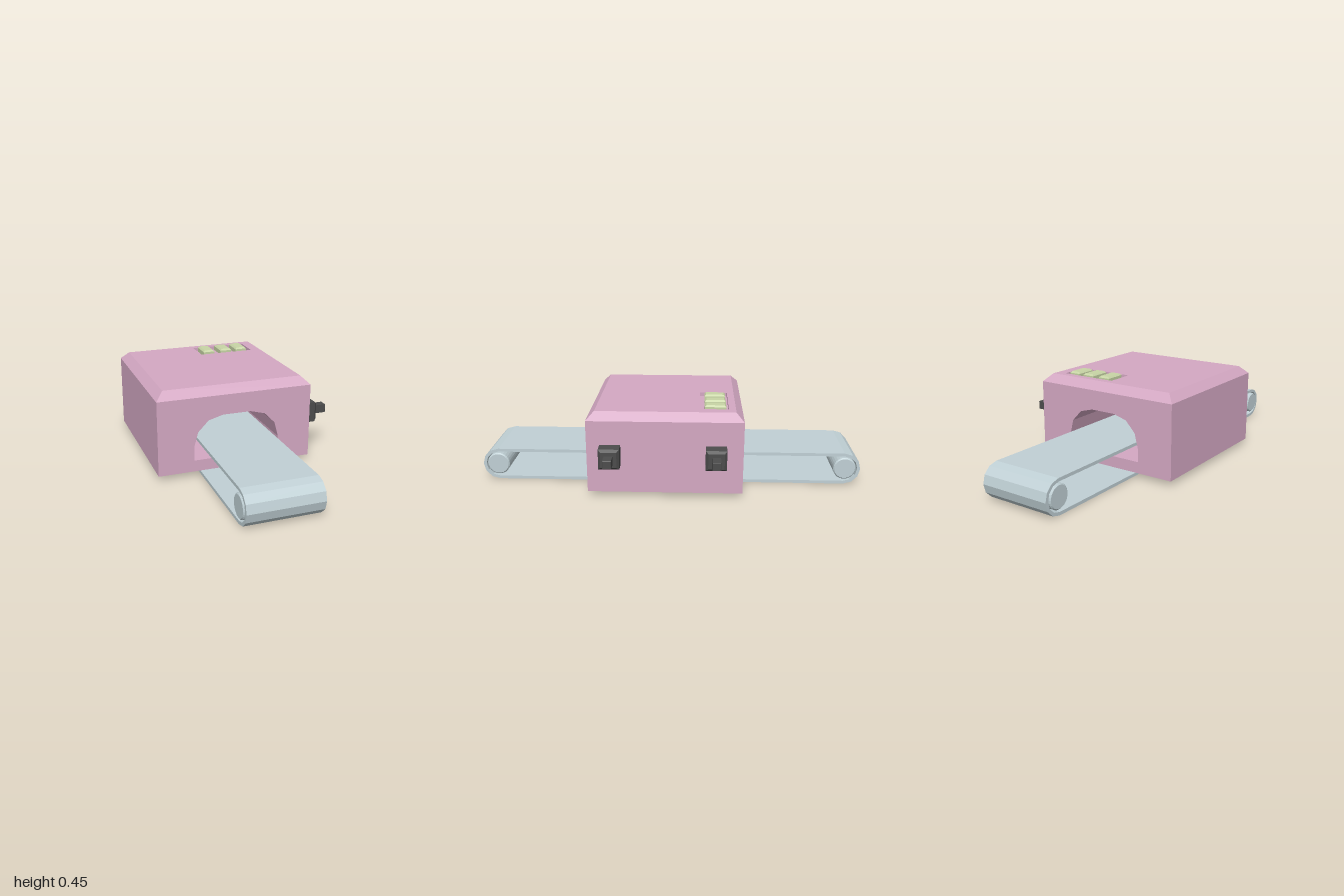
import * as THREE from 'three';

const material = (name, color) => {
  const m = new THREE.MeshStandardMaterial({ color });
  m.name = name;
  return m;
};

// Rectangle given by its limits, as points in order
const rect = (a0, a1, b0, b1) => [[a0, b0], [a1, b0], [a1, b1], [a0, b1]].map(p => new THREE.Vector2(...p));

// Flat-faced extrusion from z = 0 to z = depth, with chamfered ends kept inside the outline
function extrude(shape, depth, chamfer = 0, curveSegments = 12) {
  return new THREE.ExtrudeGeometry(shape, {
    depth: depth - 2 * chamfer, curveSegments, bevelEnabled: chamfer > 0, bevelSegments: 1,
    bevelSize: chamfer, bevelThickness: chamfer, bevelOffset: -chamfer
  }).translate(0, 0, chamfer);
}

// Move the vertices of a geometry by a rule, keeping flat faces
function reshape(geometry, rule) {
  const pos = geometry.attributes.position, v = new THREE.Vector3();
  for (let i = 0; i < pos.count; i++) {
    rule(v.fromBufferAttribute(pos, i));
    pos.setXYZ(i, v.x, v.y, v.z);
  }
  geometry.computeVertexNormals();
  return geometry;
}

export function createModel() {
  const model = new THREE.Group();
  model.name = 'conveyorScanner';
  const pink = material('pink housing', 0xd4a8c3);
  const grey = material('pale grey belt', 0xc0d0d5);
  const dark = material('dark grey knob', 0x4c4c4c);
  const green = material('pale green button', 0xc8d5a6);
  const add = (name, geometry, mat) => {
    const mesh = new THREE.Mesh(geometry, mat);
    mesh.name = name;
    model.add(mesh);
    return mesh;
  };

  const X0 = -0.465, X1 = 0.32, Z0 = -0.373, Z1 = 0.41, BEVEL = 0.04;

  // Housing with an arched tunnel that narrows slightly towards the back
  const mid = -0.068;
  const half = [[0.218, 0.082], [0.218, 0.15], [0.198, 0.225], [0.144, 0.28], [0.07, 0.3]];
  const arch = [
    ...half.map(([x, y]) => new THREE.Vector2(mid + x, y)),
    ...half.slice().reverse().map(([x, y]) => new THREE.Vector2(mid - x, y))
  ];
  const front = new THREE.Shape(rect(X0, X1, 0.025, 0.4));
  front.holes.push(new THREE.Path(arch));
  const housing = reshape(extrude(front, Z1 - Z0), v => {
    if (v.z < 0.01 && Math.abs(v.x - mid) < 0.23) v.x = mid + (v.x - mid) * 0.96;
  });
  add('housing', housing.translate(0, 0, Z0), pink);

  // Sloped lid with a cut-out for the button panel
  const lidShape = new THREE.Shape(rect(X0 + BEVEL, X1 - BEVEL, -Z1 + BEVEL, -Z0 - BEVEL));
  lidShape.holes.push(new THREE.Path(rect(-0.065, 0.228, 0.153, 0.297)));
  const cx = (X0 + X1) / 2, cz = (Z0 + Z1) / 2;
  const lid = reshape(extrude(lidShape, BEVEL).rotateX(-Math.PI / 2), v => {
    if (v.y < 0.01 && Math.abs(v.x - cx) > 0.33) {
      v.x += Math.sign(v.x - cx) * BEVEL;
      v.z += Math.sign(v.z - cz) * BEVEL;
    }
  });
  add('lid', lid.translate(0, 0.4, 0), pink);
  add('buttonPanel', new THREE.BoxGeometry(0.293, 0.02, 0.144).translate(0.0815, 0.411, -0.225), pink);

  // Three chamfered buttons
  for (const x of [-0.01, 0.088, 0.177]) {
    const cap = extrude(new THREE.Shape(rect(-0.031, 0.031, -0.054, 0.054)), 0.044, 0.008);
    add('button', cap.rotateX(-Math.PI / 2).translate(x, 0.408, -0.232), green);
  }

  // Two side knobs, each a block with a square stem
  for (const z of [0.291, -0.237]) {
    for (const [name, size, x, length, chamfer] of [
      ['knobBase', 0.052, 0.308, 0.089, 0.012],
      ['knobStem', 0.0215, 0.385, 0.077, 0.003]
    ]) {
      const block = extrude(new THREE.Shape(rect(-size, size, -size, size)), length, chamfer);
      add(name, block.rotateY(Math.PI / 2).translate(x, 0.225, z), dark);
    }
  }

  // Belt: a hollow loop with faceted round ends
  const loop = r => {
    const points = [];
    for (const side of [1, -1]) {
      for (let i = 0; i <= 6; i++) {
        const a = -Math.PI / 2 + i * Math.PI / 6;
        points.push(new THREE.Vector2(side * (0.915 + r * Math.cos(a)), 0.085 + side * r * Math.sin(a)));
      }
    }
    return points;
  };
  const beltShape = new THREE.Shape(loop(0.085));
  beltShape.holes.push(new THREE.Path(loop(0.069)));
  add('belt', extrude(beltShape, 0.367).rotateY(Math.PI / 2).translate(-0.25, 0, 0), grey);

  // Rollers at both ends of the belt
  for (const z of [0.918, -0.918]) {
    const disc = new THREE.Shape().absarc(0, 0, 0.059, 0, Math.PI * 2);
    add('roller', extrude(disc, 0.376, 0.006, 14).rotateY(Math.PI / 2).translate(-0.2545, 0.087, z), grey);
  }
  return model;
}
